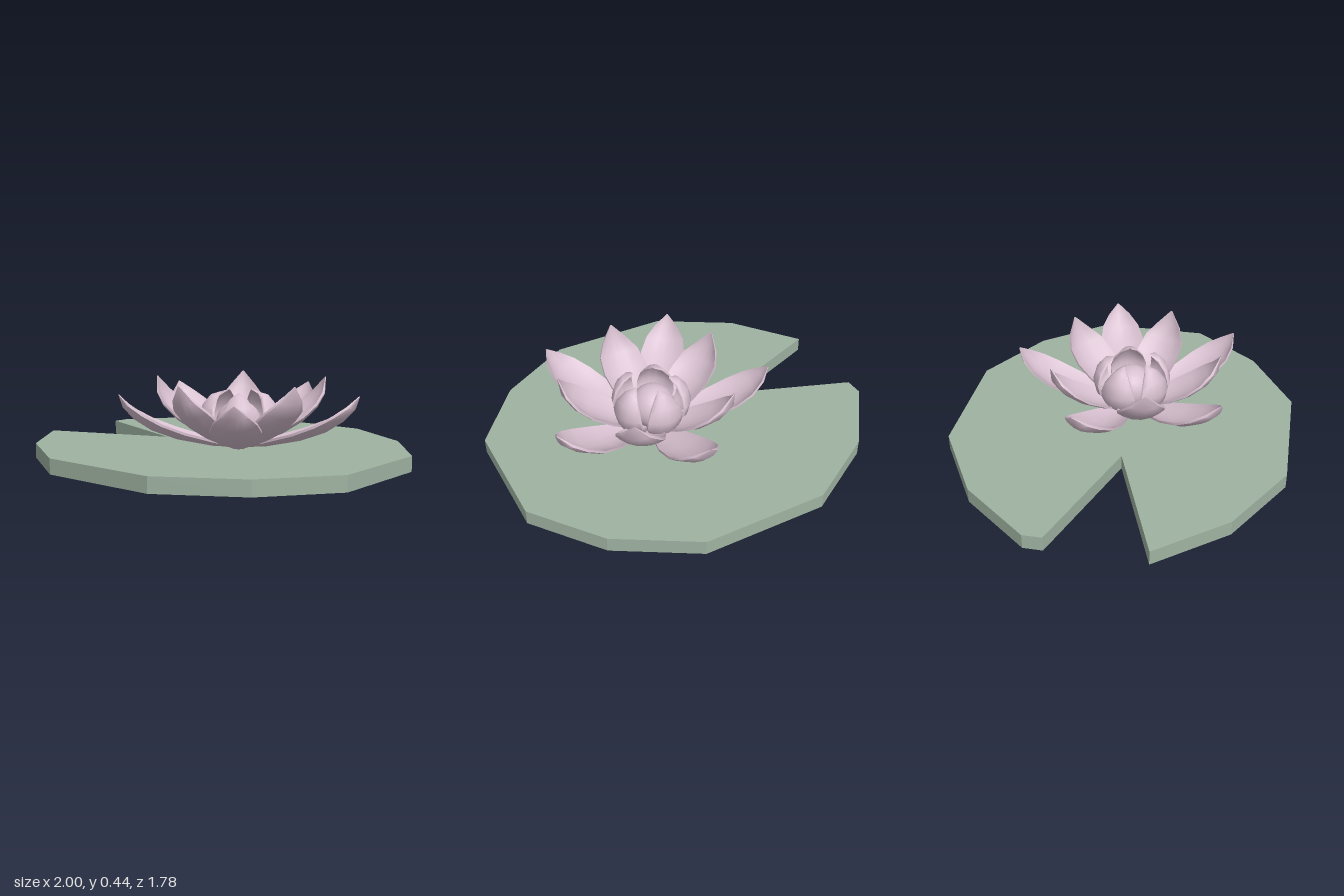
import * as THREE from 'three';
import { toCreasedNormals } from 'three/addons/utils/BufferGeometryUtils.js';

const CENTRE = [0.16, 0, 0.015];

// Cupped petal pointing along +z, from stations of [reach, height, half width]
function petalGeometry(stations, cup, thickness) {
  const across = [-1, -0.75, -0.4, 0, 0.4, 0.75, 1];
  const ring = [...across.map(u => [u, 0]), ...[...across].reverse().map(u => [u, 1])];
  const n = ring.length, last = stations.length - 1;
  const positions = [], index = [];
  stations.forEach(([r, y, w], i) => {
    const a = stations[Math.max(i - 1, 0)], b = stations[Math.min(i + 1, last)];
    const normal = new THREE.Vector2(a[1] - b[1], b[0] - a[0]).normalize();
    const depth = i === last ? 0.003 : thickness;
    for (const [u, under] of ring) {
      const lift = cup * w * u * u - under * depth;
      positions.push(u * w, y + normal.y * lift, r + normal.x * lift);
    }
    if (i === last) return;
    for (let j = 0; j < n; j++) {
      const p = i * n + j, q = i * n + (j + 1) % n;
      index.push(p, p + n, q, q, p + n, q + n);
    }
  });
  const geometry = new THREE.BufferGeometry();
  geometry.setAttribute('position', new THREE.Float32BufferAttribute(positions, 3));
  geometry.setIndex(index);
  return toCreasedNormals(geometry, 0.9);
}

// Five petals evenly spaced around the flower centre
function petalRing(name, geometry, material, startAngle) {
  const ring = new THREE.Group();
  ring.name = name + 's';
  for (let i = 0; i < 5; i++) {
    const petal = new THREE.Mesh(geometry, material);
    petal.name = name;
    petal.rotation.y = startAngle + i * Math.PI * 2 / 5;
    ring.add(petal);
  }
  return ring;
}

export function createModel() {
  const model = new THREE.Group();
  model.name = 'waterLily';
  const green = new THREE.MeshStandardMaterial({ color: 0x9fb3a2 });
  const pink = new THREE.MeshStandardMaterial({ color: 0xd8c0d0 });

  // Floating leaf with a wedge-shaped notch
  const outline = [
    [1, -0.3], [1, 0.3], [0.73, 0.65], [0.33, 0.89], [-0.33, 0.89], [-0.73, 0.65], [-1, 0.3],
    [-0.33, 0.045], [-1, -0.2], [-1, -0.3], [-0.73, -0.65], [-0.33, -0.89], [0.33, -0.89], [0.73, -0.65],
  ];
  const leafShape = new THREE.Shape(outline.map(([x, z]) => new THREE.Vector2(x, -z)));
  const leafGeometry = new THREE.ExtrudeGeometry(leafShape, { depth: 0.08, bevelEnabled: false });
  leafGeometry.rotateX(-Math.PI / 2);
  const leaf = new THREE.Mesh(leafGeometry, green);
  leaf.name = 'leafPad';
  model.add(leaf);

  const flower = new THREE.Group();
  flower.name = 'flower';
  flower.position.set(...CENTRE);
  model.add(flower);

  // Low, wide outer petals
  const outer = petalGeometry([
    [0, 0.085, 0.03], [0.15, 0.1, 0.07], [0.33, 0.14, 0.115], [0.46, 0.19, 0.125],
    [0.55, 0.25, 0.105], [0.605, 0.31, 0.063], [0.635, 0.37, 0.003],
  ], 0.35, 0.013);
  flower.add(petalRing('outerPetal', outer, pink, Math.PI));

  // Steeper middle petals, set between the outer ones
  const middle = petalGeometry([
    [0, 0.085, 0.03], [0.1, 0.1, 0.07], [0.22, 0.15, 0.112], [0.33, 0.21, 0.125],
    [0.41, 0.28, 0.113], [0.455, 0.35, 0.07], [0.475, 0.435, 0.003],
  ], 0.35, 0.013);
  flower.add(petalRing('middlePetal', middle, pink, 0));

  // Bud petals curling in over the heart
  const bud = petalGeometry([
    [0, 0.085, 0.03], [0.12, 0.1, 0.07], [0.19, 0.16, 0.1], [0.207, 0.23, 0.1],
    [0.187, 0.3, 0.08], [0.145, 0.35, 0.045], [0.1, 0.37, 0.003],
  ], 0.45, 0.012);
  flower.add(petalRing('budPetal', bud, pink, Math.PI));

  // Round heart of the flower
  const heart = new THREE.Mesh(new THREE.SphereGeometry(0.12, 20, 14), pink);
  heart.name = 'heart';
  heart.position.set(-0.01, 0.2, -0.005);
  flower.add(heart);

  return model;
}
